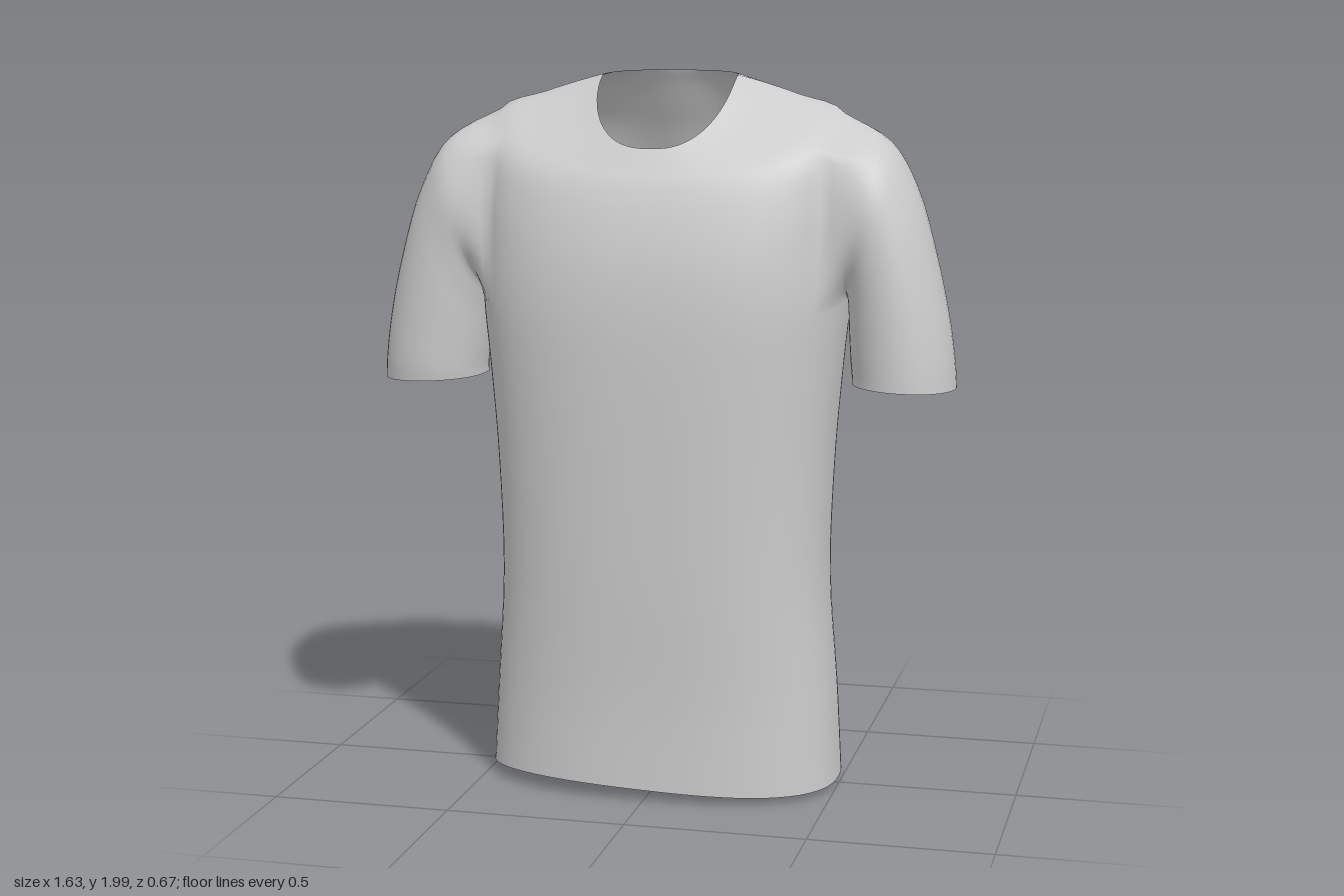
import * as THREE from 'three';

const COLS = 72;      // points around the body
const STEP = 4;       // rings between two stations
const HALF = 6;       // half width of an armhole, in columns
const HOLE = [5, 8];  // armhole runs between these body stations

// Body stations: side y, half width, side z, front y, front z, back y, back z
const BODY = [
  [0.022, 0.50, 0.00, 0.022, 0.300, 0.022, -0.290],
  [0.28, 0.485, 0.00, 0.28, 0.302, 0.28, -0.303],
  [0.60, 0.463, 0.01, 0.60, 0.318, 0.60, -0.305],
  [0.92, 0.472, 0.01, 0.92, 0.330, 0.92, -0.303],
  [1.18, 0.492, 0.01, 1.18, 0.338, 1.18, -0.318],
  [1.37, 0.510, 0.01, 1.36, 0.338, 1.37, -0.338],
  [1.54, 0.515, 0.00, 1.50, 0.325, 1.53, -0.345],
  [1.73, 0.515, -0.01, 1.62, 0.297, 1.68, -0.330],
  [1.885, 0.490, -0.03, 1.70, 0.268, 1.80, -0.285],
  [1.935, 0.360, -0.04, 1.745, 0.243, 1.89, -0.235],
  [1.968, 0.255, -0.045, 1.775, 0.226, 1.955, -0.193],
  [1.985, 0.190, -0.03, 1.797, 0.212, 1.993, -0.160],
];

// Sleeve stations: outer x, y, inner x, y, front z, back z
const SLEEVE = [
  [0.615, 1.815, 0.512, 1.390, 0.188, -0.205],
  [0.695, 1.690, 0.518, 1.350, 0.188, -0.170],
  [0.755, 1.500, 0.522, 1.290, 0.193, -0.146],
  [0.793, 1.330, 0.526, 1.225, 0.196, -0.138],
  [0.810, 1.210, 0.531, 1.175, 0.198, -0.135],
  [0.815, 1.150, 0.531, 1.160, 0.198, -0.132],
];

// Smooth interpolation through rows of numbers
function spline(rows, u) {
  const i = Math.min(Math.floor(u), rows.length - 2), t = u - i;
  const row = k => rows[Math.max(0, Math.min(rows.length - 1, k))];
  return rows[0].map((_, c) => {
    const [a, b, d, e] = [-1, 0, 1, 2].map(k => row(i + k)[c]);
    return b + 0.5 * t * (d - a + t * (2 * a - 5 * b + 4 * d - e + t * (3 * (b - d) + e - a)));
  });
}

const power = (v, p) => Math.sign(v) * Math.abs(v) ** p;

// One point of the body at station u and angle a
function bodyPoint(u, a) {
  const [ys, w, zs, yf, zf, yb, zb] = spline(BODY, u);
  const c = Math.cos(a), s = Math.sin(a), v = u / (BODY.length - 1);
  const front = s >= 0, k = Math.abs(s);
  const x = w * power(c, 0.8);
  let z = zs + ((front ? zf : zb) - zs) * k ** 0.8;
  let y = ys + ((front ? yf : yb) - ys) * k;
  // groove down the spine
  if (!front) z += 0.045 * Math.sin(Math.PI * v) * Math.exp(-((x / 0.1) ** 2));
  // wavy hem
  y += s * (0.012 - 0.04 * x) * Math.max(0, 1 - u);
  return new THREE.Vector3(x, y, z);
}

export function createModel() {
  const points = [];
  const parts = { body: [], leftSleeve: [], rightSleeve: [] };
  const quad = (list, a, b, c, d, flip) =>
    flip ? list.push(a, d, c, a, c, b) : list.push(a, b, c, a, c, d);

  // Body from hem to neckline, open at the armholes
  const rings = (BODY.length - 1) * STEP;
  const [low, high] = HOLE.map(h => h * STEP);
  const id = (i, j) => i * COLS + (j + COLS) % COLS;
  for (let i = 0; i <= rings; i++)
    for (let j = 0; j < COLS; j++)
      points.push(bodyPoint(i / STEP, j / COLS * Math.PI * 2));
  for (let i = 0; i < rings; i++)
    for (let j = 0; j < COLS; j++) {
      const fromSide = Math.abs((j + 0.5 + COLS / 4) % (COLS / 2) - COLS / 4);
      if (i >= low && i < high && fromSide < HALF) continue;
      quad(parts.body, id(i, j), id(i, j + 1), id(i + 1, j + 1), id(i + 1, j), true);
    }

  // Sleeves grow out of the armhole edges
  for (const side of [1, -1]) {
    const col = k => side > 0 ? k : COLS / 2 - k;
    const loop = [];
    for (let k = 0; k < HALF; k++) loop.push(id(high, col(k)));
    for (let i = high; i > low; i--) loop.push(id(i, col(HALF)));
    for (let k = HALF; k > -HALF; k--) loop.push(id(low, col(k)));
    for (let i = low; i < high; i++) loop.push(id(i, col(-HALF)));
    for (let k = -HALF; k < 0; k++) loop.push(id(high, col(k)));

    const n = loop.length, count = SLEEVE.length * STEP;
    const paths = loop.map((start, j) => {
      const a = j / n * Math.PI * 2, c = (1 + Math.cos(a)) / 2, s = Math.sin(a);
      return new THREE.CatmullRomCurve3([points[start], ...SLEEVE.map(([ox, oy, ix, iy, zf, zb], r) => {
        // the right sleeve hangs a little lower and further back
        const drop = side < 0 ? r / (SLEEVE.length - 1) : 0;
        return new THREE.Vector3(
          side * (ix + (ox - ix) * c),
          iy + (oy - iy) * c - 0.02 * drop,
          (zf + zb) / 2 + (zf - zb) / 2 * power(s, 0.9) - 0.025 * drop);
      })]);
    });
    const base = points.length;
    for (let i = 1; i <= count; i++) for (const path of paths) points.push(path.getPoint(i / count));
    const at = (i, j) => i === 0 ? loop[j % n] : base + (i - 1) * n + j % n;
    const list = side > 0 ? parts.leftSleeve : parts.rightSleeve;
    for (let i = 0; i < count; i++)
      for (let j = 0; j < n; j++)
        quad(list, at(i, j), at(i, j + 1), at(i + 1, j + 1), at(i + 1, j), side < 0);
  }

  // Shared normals keep the seams between the parts smooth
  const whole = new THREE.BufferGeometry().setFromPoints(points);
  whole.setIndex(Object.values(parts).flat());
  whole.computeVertexNormals();

  const material = new THREE.MeshStandardMaterial({ color: 0xcccccc, side: THREE.DoubleSide });
  const group = new THREE.Group();
  group.name = 'shirt';
  for (const [name, list] of Object.entries(parts)) {
    whole.setIndex(list);
    const mesh = new THREE.Mesh(whole.toNonIndexed(), material);
    mesh.name = name;
    group.add(mesh);
  }
  return group;
}
